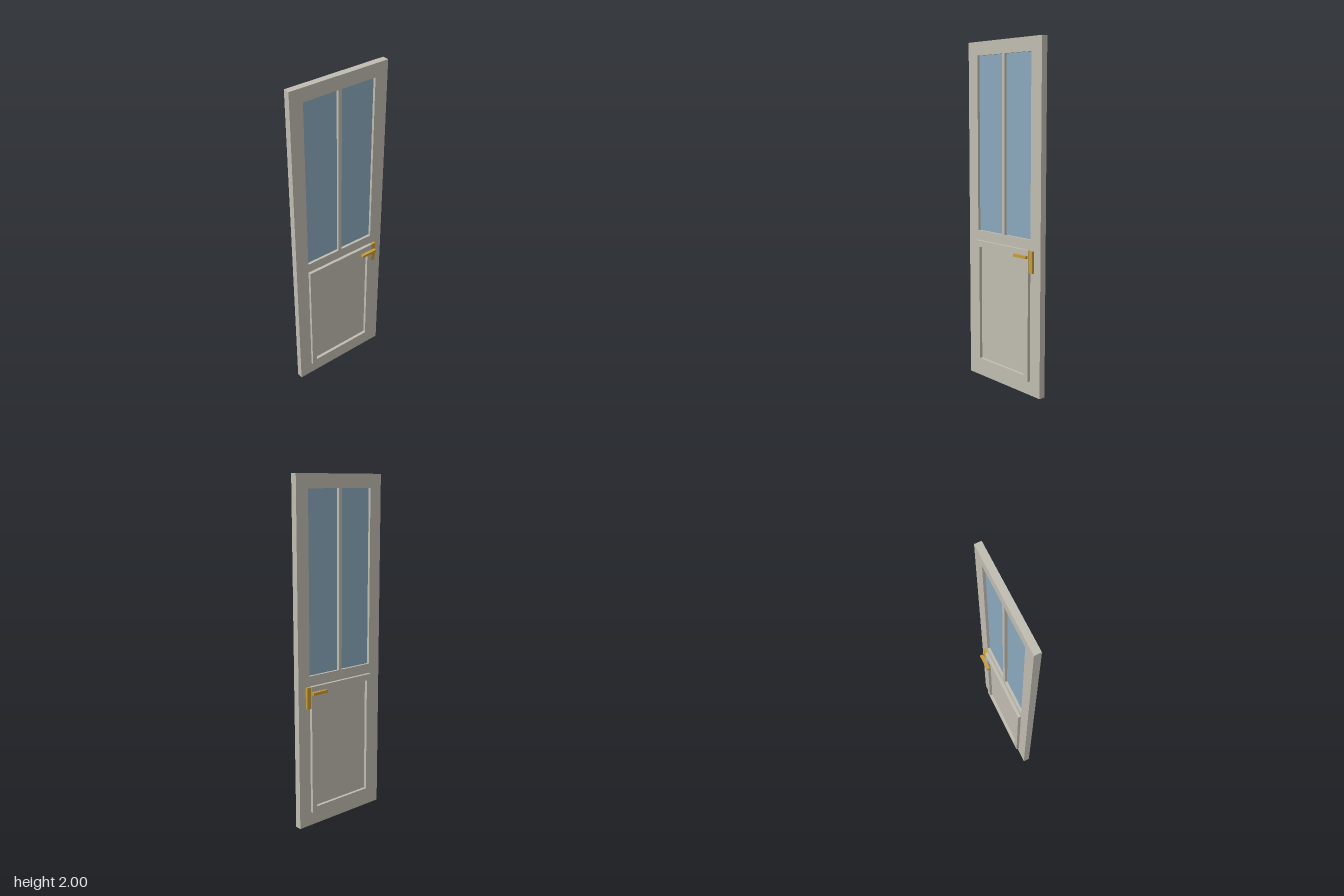
import * as THREE from 'three';

const W = 0.306, H = 2, T = 0.0195; // half width, height, half thickness
const OPEN = 0.226, MULLION = 0.011; // half widths of window area and centre bar

const paint = new THREE.MeshStandardMaterial({ color: 0xc0bcb1 });
paint.name = 'greyPaint';
const glass = new THREE.MeshStandardMaterial({ color: 0x8aa9be });
glass.name = 'blueGlass';
const brass = new THREE.MeshStandardMaterial({ color: 0xc99c38 });
brass.name = 'brass';

function add(parent, name, geometry, material) {
  const mesh = new THREE.Mesh(geometry, material);
  mesh.name = name;
  parent.add(mesh);
  return mesh;
}

// Rectangle outline from its corners
function rect(Type, x0, y0, x1, y1) {
  const r = new Type();
  r.moveTo(x0, y0).lineTo(x1, y0).lineTo(x1, y1).lineTo(x0, y1).closePath();
  return r;
}

// Flat board running from z0 to z1, with optional holes
function board(shape, z0, z1) {
  return new THREE.ExtrudeGeometry(shape, { depth: z1 - z0, bevelEnabled: false }).translate(0, 0, z0);
}

// Box from its minimum and maximum corners
function box(x0, x1, y0, y1, z0, z1) {
  return new THREE.BoxGeometry(x1 - x0, y1 - y0, z1 - z0)
    .translate((x0 + x1) / 2, (y0 + y1) / 2, (z0 + z1) / 2);
}

export function createModel() {
  const door = new THREE.Group();
  door.name = 'door';

  // Door leaf with two tall window openings
  const windows = [[-OPEN, -MULLION], [MULLION, OPEN]];
  const leaf = rect(THREE.Shape, -W, 0, W, H);
  for (const [x0, x1] of windows) leaf.holes.push(rect(THREE.Path, x0, 0.9, x1, 1.922));
  add(door, 'leaf', board(leaf, -T, T), paint);

  // Window panes set in the middle of the leaf
  windows.forEach(([x0, x1], i) => {
    add(door, i ? 'leftPane' : 'rightPane', box(x0, x1, 0.9, 1.922, -0.004, 0.004), glass);
  });

  // Raised moulding, lock plate and lever on each face
  for (const [side, s] of [['front', 1], ['back', -1]]) {
    const span = (a, b) => (s > 0 ? [a, b] : [-b, -a]);
    const moulding = rect(THREE.Shape, -OPEN, 0.082, OPEN, 0.842);
    moulding.holes.push(rect(THREE.Path, -0.195, 0.115, 0.195, 0.805));
    add(door, side + 'Moulding', board(moulding, ...span(T, 0.0375)), paint);
    add(door, side + 'LockPlate', box(0.205, 0.256, 0.715, 0.84, ...span(T, 0.0345)), brass);
    add(door, side + 'Lever', box(0.136, 0.236, 0.8, 0.816, ...span(0.05, 0.068)), brass);
  }
  return door;
}
